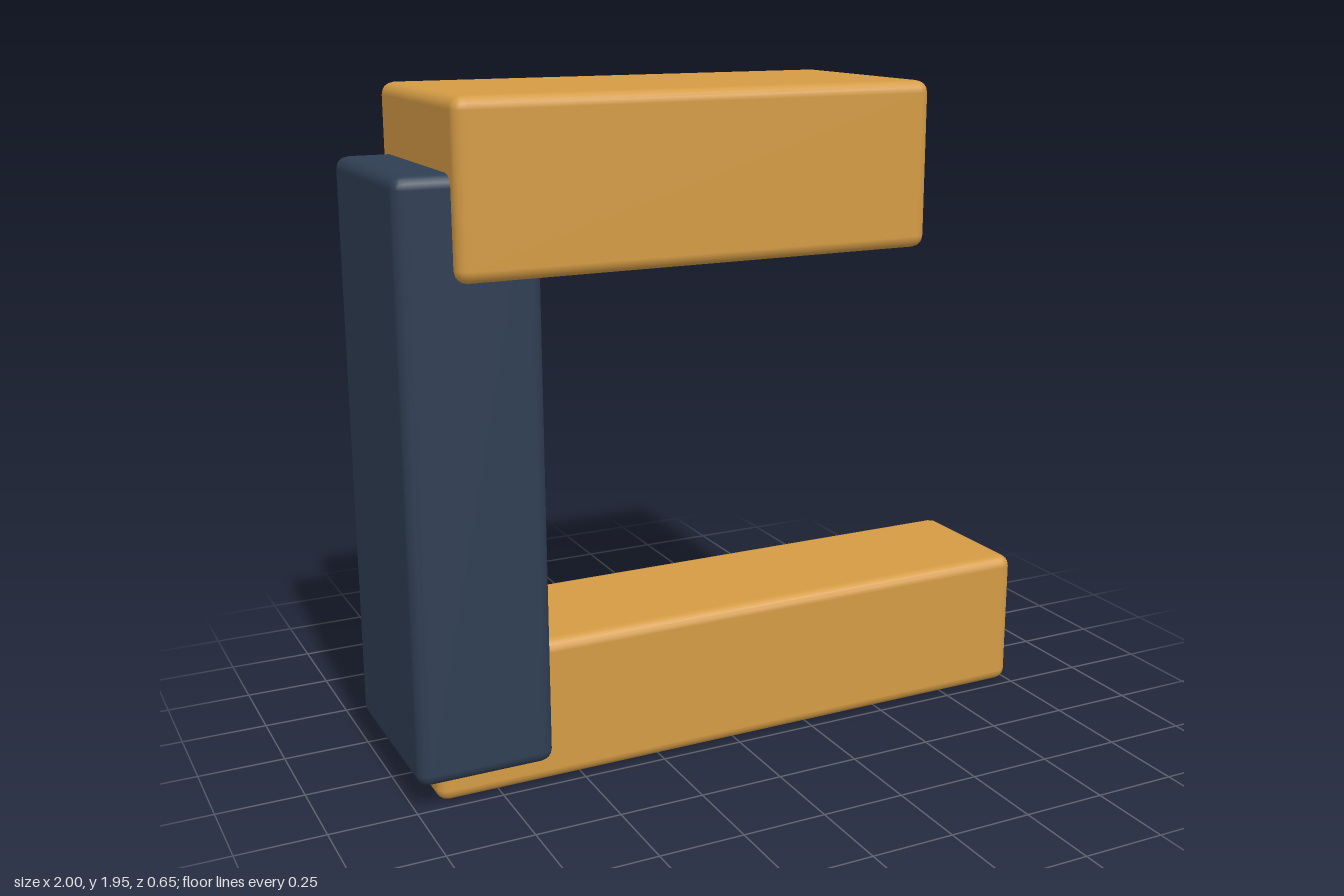
import * as THREE from 'three';
import { RoundedBoxGeometry } from 'three/addons/geometries/RoundedBoxGeometry.js';

export function createModel() {
  const model = new THREE.Group();
  model.name = 'bracket';

  const gold = new THREE.MeshStandardMaterial({ color: 0xd49b45 });
  gold.name = 'golden ochre';
  const navy = new THREE.MeshStandardMaterial({ color: 0x2f3e53 });
  navy.name = 'dark slate blue';

  // Block with softened edges, given by its x and y extents and its depth
  function addBlock(name, material, [x0, x1], [y0, y1], depth) {
    const geometry = new RoundedBoxGeometry(x1 - x0, y1 - y0, depth, 2, 0.035);
    const mesh = new THREE.Mesh(geometry, material);
    mesh.name = name;
    mesh.position.set((x0 + x1) / 2, (y0 + y1) / 2, 0);
    model.add(mesh);
  }

  addBlock('baseBeam', gold, [-0.93, 1.0], [0, 0.425], 0.455);
  addBlock('column', navy, [-1.0, -0.605], [0.085, 1.75], 0.57);
  addBlock('topBeam', gold, [-0.85, 0.56], [1.47, 1.945], 0.655);

  return model;
}
